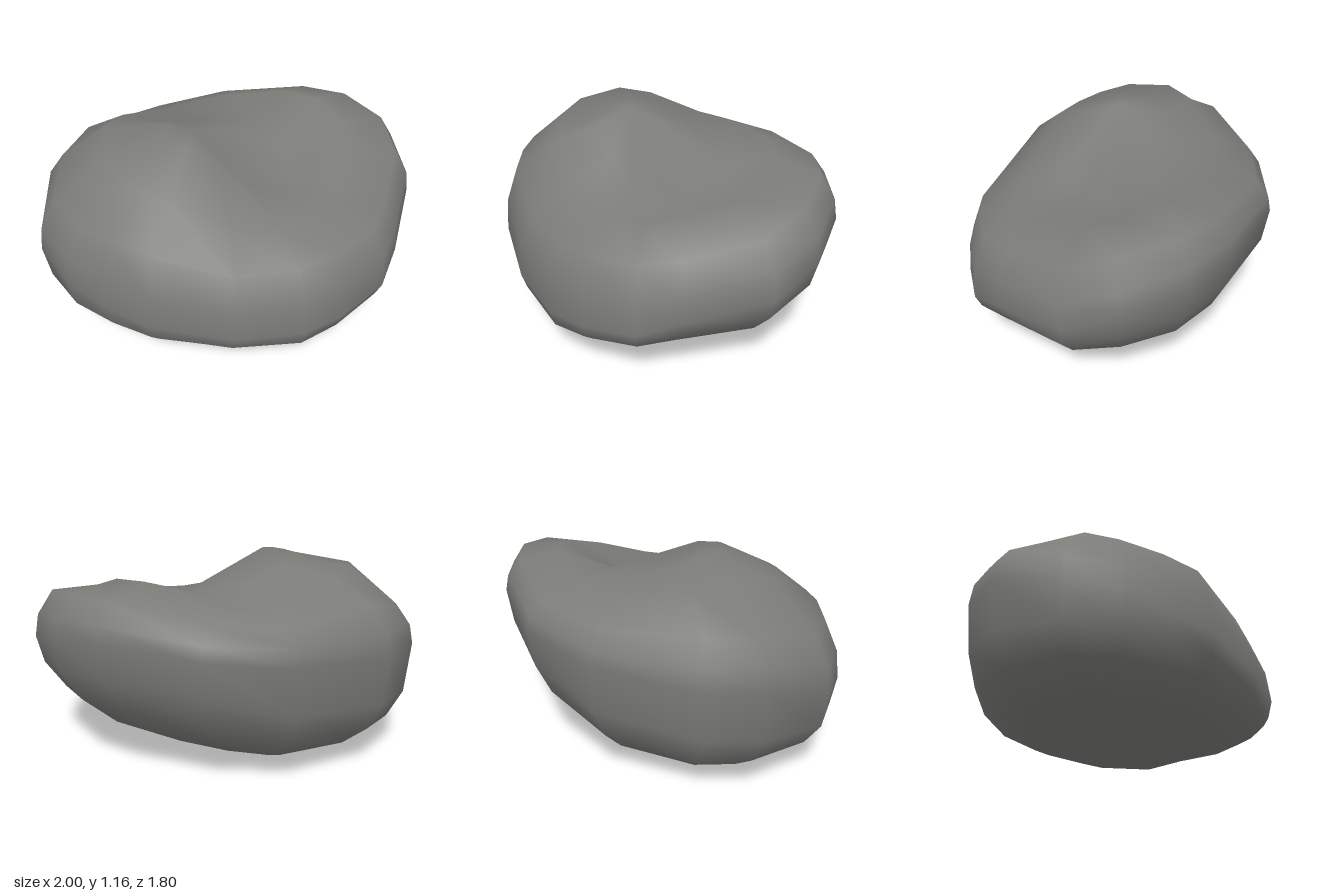
import * as THREE from 'three';

// One row per direction around the stone: rim x, rim z, rim height,
// top heights at 0.9, 0.65 and 0.33 of the way out, fullness of the underside
const SECTIONS = [
  [1, 0, 0.5, 0.79, 0.87, 0.84, 1.8],
  [0.97, 0.22, 0.42, 0.76, 0.85, 0.84, 1.8],
  [0.8, 0.47, 0.37, 0.74, 0.83, 0.87, 2.0],
  [0.64, 0.63, 0.35, 0.72, 0.82, 0.92, 2.2],
  [0.3, 0.8, 0.36, 0.71, 0.85, 1.0, 2.0],
  [-0.13, 0.9, 0.42, 0.82, 0.99, 1.12, 2.0],
  [-0.37, 0.87, 0.45, 0.84, 1.02, 1.14, 2.2],
  [-0.62, 0.81, 0.5, 0.83, 1.04, 1.14, 2.4],
  [-0.86, 0.65, 0.55, 0.84, 1.07, 1.14, 2.6],
  [-1, 0.27, 0.68, 0.9, 1.1, 1.13, 2.9],
  [-0.96, -0.03, 0.68, 0.94, 1.07, 1.09, 2.8],
  [-0.65, -0.52, 0.72, 0.9, 0.99, 1.02, 2.6],
  [-0.27, -0.8, 0.77, 0.93, 1.01, 1.0, 2.1],
  [0.28, -0.9, 0.81, 1.0, 1.07, 0.97, 2.0],
  [0.58, -0.86, 0.78, 1.01, 1.06, 0.92, 2.0],
  [0.86, -0.69, 0.71, 0.97, 0.99, 0.87, 1.9],
  [1, -0.45, 0.6, 0.88, 0.95, 0.84, 1.9],
];

function stoneGeometry() {
  const n = SECTIONS.length;
  const positions = [];
  const index = [];

  // Dented top, from the inner ring out to the rim
  const topRings = [
    [0.33, (r) => r[5]],
    [0.65, (r) => r[4]],
    [0.9, (r) => r[3]],
    [0.98, (r) => r[2] + 0.48 * (r[3] - r[2])],
    [1, (r) => r[2]],
  ];
  for (const [s, height] of topRings) {
    for (const r of SECTIONS) positions.push(r[0] * s, height(r), r[1] * s);
  }

  // Rounded underside
  const lowerRings = [0.97, 0.88, 0.72, 0.5, 0.25];
  for (const s of lowerRings) {
    for (const [x, z, rim, , , , p] of SECTIONS) {
      const bowl = 1 - Math.pow(1 - Math.pow(s, p), 1 / p);
      const y = rim * (bowl + 0.1 * s * (1 - s));
      positions.push(x * s - 0.1 * (1 - s), y, z * s + 0.05 * (1 - s));
    }
  }

  // Peak and lowest point
  const rings = topRings.length + lowerRings.length;
  const top = rings * n;
  positions.push(-0.13, 1.16, 0.15, -0.1, 0, 0.05);

  // Skin between rings and the two caps
  for (let i = 0; i < n; i++) {
    const k = (i + 1) % n;
    for (let j = 0; j < rings - 1; j++) {
      const a = j * n + i, b = j * n + k;
      index.push(a, b, a + n, b, b + n, a + n);
    }
    const last = (rings - 1) * n;
    index.push(top, k, i, top + 1, last + i, last + k);
  }

  const geometry = new THREE.BufferGeometry();
  geometry.setAttribute('position', new THREE.Float32BufferAttribute(positions, 3));
  geometry.setIndex(index);
  geometry.computeVertexNormals();
  return geometry;
}

export function createModel() {
  const group = new THREE.Group();
  group.name = 'rock';
  const stone = new THREE.MeshStandardMaterial({ color: 0x7b7b78 });
  stone.name = 'grey stone';
  const mesh = new THREE.Mesh(stoneGeometry(), stone);
  mesh.name = 'stone';
  group.add(mesh);
  return group;
}
